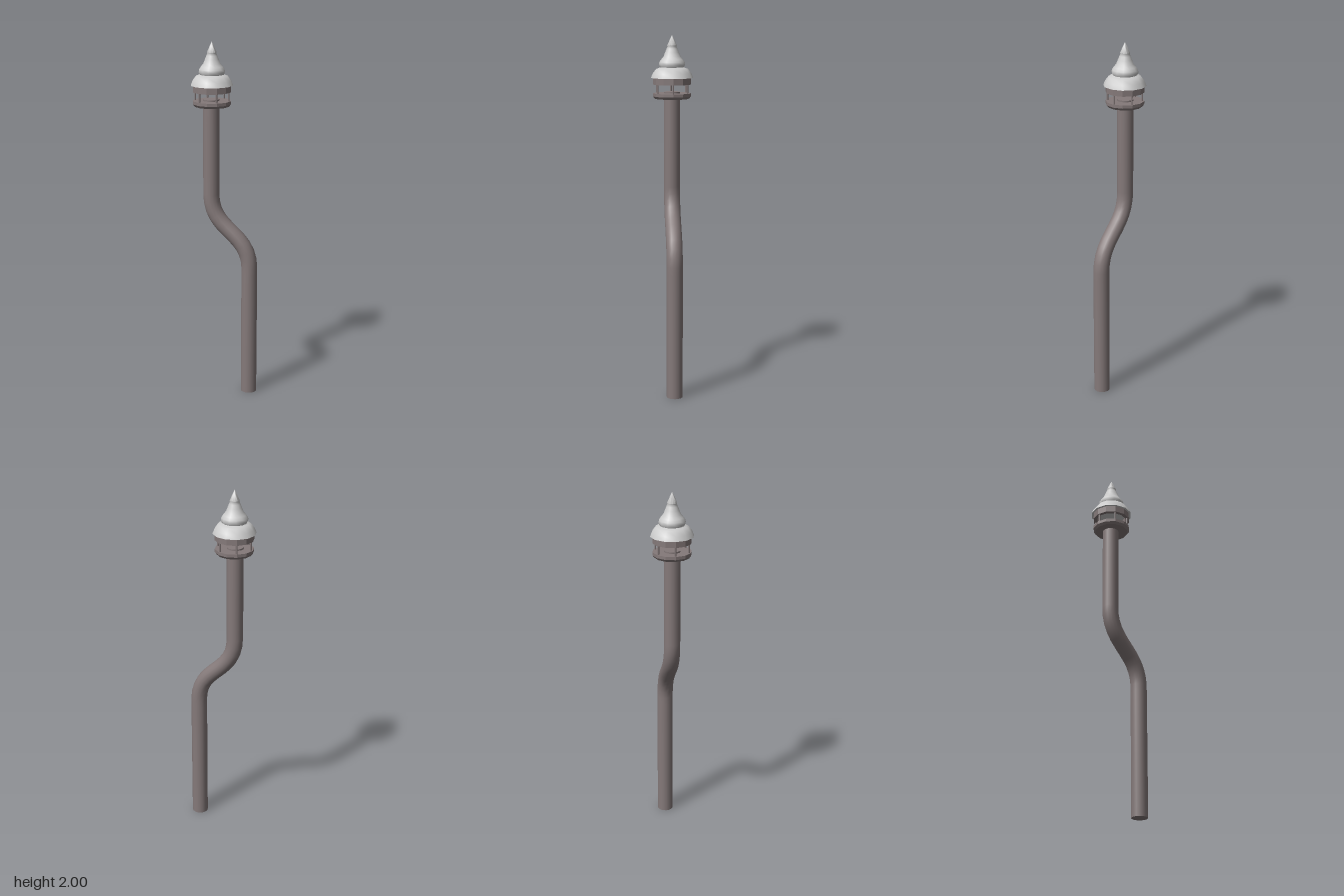
import * as THREE from 'three';
import { toCreasedNormals } from 'three/addons/utils/BufferGeometryUtils.js';

const SIDES = 12;
const HEAD_X = -0.072, FOOT_X = 0.142, PIPE_R = 0.045;

export function createModel() {
  const model = new THREE.Group();
  const metal = new THREE.MeshStandardMaterial({ color: 0x857a7a });
  const grey = new THREE.MeshStandardMaterial({ color: 0xcccccc });

  const add = (name, geometry, material, parent, x = 0, y = 0, z = 0) => {
    const mesh = new THREE.Mesh(geometry, material);
    mesh.name = name;
    mesh.position.set(x, y, z);
    parent.add(mesh);
    return mesh;
  };
  // Profiles run from bottom to top as [radius, height]
  const lathe = (profile, crease) => toCreasedNormals(
    new THREE.LatheGeometry(profile.map(([r, y]) => new THREE.Vector2(r, y)), SIDES), crease);

  // Pipe: straight foot, S-bend, straight neck
  const v = (x, y) => new THREE.Vector3(x, y, 0);
  const path = new THREE.CurvePath();
  path.add(new THREE.LineCurve3(v(FOOT_X, 0), v(FOOT_X, 0.74)));
  path.add(new THREE.CubicBezierCurve3(
    v(FOOT_X, 0.74), v(FOOT_X, 0.96), v(HEAD_X - 0.005, 0.94), v(HEAD_X - 0.005, 1.16)));
  path.add(new THREE.LineCurve3(v(HEAD_X - 0.005, 1.16), v(HEAD_X - 0.005, 1.69)));
  const pipe = new THREE.Group();
  pipe.name = 'pipe';
  model.add(pipe);
  add('pipeTube', new THREE.TubeGeometry(path, 40, PIPE_R, 16), metal, pipe);
  const end = new THREE.CircleGeometry(PIPE_R, 16);
  add('pipeBottom', end, metal, pipe, FOOT_X, 0).rotation.x = Math.PI / 2;
  add('pipeTop', end, metal, pipe, HEAD_X - 0.005, 1.69).rotation.x = -Math.PI / 2;

  // Vent head
  const head = new THREE.Group();
  head.name = 'ventHead';
  head.position.x = HEAD_X;
  model.add(head);

  // Base plate with a chamfered underside
  add('basePlate', lathe([[0, 1.652], [0.095, 1.652], [0.105, 1.665], [0.105, 1.682], [0, 1.682]], 0.5), metal, head);

  // Thin posts between plate and upper ring
  const post = new THREE.CylinderGeometry(0.005, 0.005, 0.06, 6);
  for (let i = 0; i < 6; i++) {
    const a = i * Math.PI / 3;
    add('post', post, metal, head, 0.094 * Math.cos(a), 1.708, 0.094 * Math.sin(a));
  }

  // Open upper ring
  add('upperRing', lathe([[0.085, 1.73], [0.105, 1.73], [0.105, 1.77], [0.085, 1.77], [0.085, 1.73]], 0.5), metal, head);

  // Stepped cap with a closed underside and a pointed finial
  add('cap', lathe([
    [0, 1.766], [0.117, 1.766], [0.107, 1.79], [0.088, 1.815], [0.076, 1.819],
    [0.066, 1.824], [0.073, 1.838], [0.07, 1.852], [0.06, 1.866], [0.047, 1.882],
    [0.038, 1.905], [0.03, 1.925], [0.025, 1.938], [0.027, 1.942], [0.012, 1.975], [0, 2.0],
  ], 1.0), grey, head);

  return model;
}
